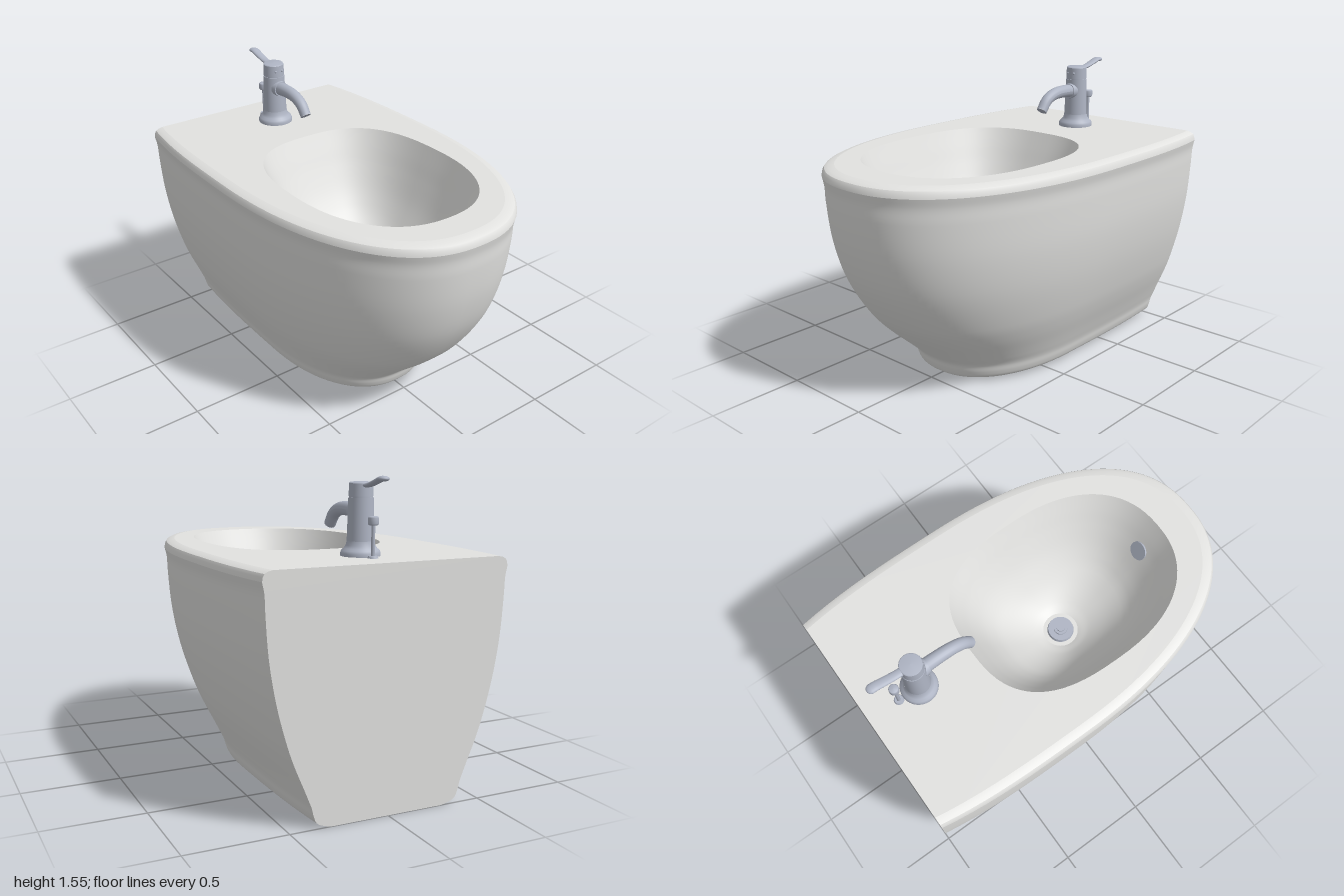
import * as THREE from 'three';

const BACK = -1, MID = -0.2, TOP = 1.178;
const V = (x, y, z) => new THREE.Vector3(x, y, z);
const signedPow = (v, e) => Math.sign(v) * Math.abs(v) ** e;

// U-shaped outline at height y: full rounded front, nearly straight sides, open at the back
function outline(w, y, front) {
  const side = [], steps = 10, arc = 64;
  for (let i = 0; i < steps; i++) {
    const t = 1 - i / steps;
    side.push(V(w * (1 - 0.07 * t ** 3), y, MID + (BACK - MID) * t));
  }
  const pts = side.slice();
  for (let i = 0; i <= arc; i++) {
    const a = (Math.PI * i) / arc;
    pts.push(V(w * signedPow(Math.cos(a), 0.87), y, MID + (front - MID) * Math.abs(Math.sin(a)) ** 0.87));
  }
  side.reverse().forEach(p => pts.push(V(-p.x, y, p.z)));
  return pts;
}

// Bowl ring: squarer at the rear, rounding off to a circle at the drain
function bowlRing(t, depth) {
  const pts = [], n = 80, k = Math.min(1, Math.max(0, (0.6 - t) / 0.4));
  for (let i = 0; i < n; i++) {
    const a = (2 * Math.PI * i) / n, c = Math.cos(a), s = Math.sin(a);
    const e = s < 0 ? 0.74 : 0.87, r = 0.48 * t;
    const x = 0.458 * t * signedPow(c, e);
    const z = (s < 0 ? 0.57 : 0.61) * t * signedPow(s, e);
    pts.push(V(x + (r * c - x) * k, TOP - depth, 0.17 + z + (r * s - z) * k));
  }
  return pts;
}

// Smooth skin through rings with equal point counts
function loft(rings, closed = false) {
  const n = rings[0].length, idx = [];
  for (let i = 0; i < rings.length - 1; i++)
    for (let j = 0; j < (closed ? n : n - 1); j++) {
      const a = i * n + j, b = i * n + ((j + 1) % n);
      idx.push(a, a + n, b, b, a + n, b + n);
    }
  const g = new THREE.BufferGeometry().setFromPoints(rings.flat());
  g.setIndex(idx);
  g.computeVertexNormals();
  return g;
}

// Tapered, optionally flattened tube along a curve in the x = 0 plane
function taperedTube(points, r0, r1, flat = 1) {
  const curve = new THREE.CatmullRomCurve3(points), n = 28, m = 20;
  const g = new THREE.TubeGeometry(curve, n, 1, m);
  const p = g.attributes.position, v = V(0, 0, 0);
  for (let i = 0; i <= n; i++) {
    const c = curve.getPointAt(i / n), r = r0 + (r1 - r0) * (i / n);
    for (let j = 0; j <= m; j++) {
      const k = i * (m + 1) + j;
      v.fromBufferAttribute(p, k).sub(c);
      p.setXYZ(k, c.x + v.x * r, c.y + v.y * r * flat, c.z + v.z * r * flat);
    }
  }
  g.computeVertexNormals();
  return g;
}

// Turned part from [radius, height] pairs
function turned(profile) {
  return new THREE.LatheGeometry(profile.map(([r, y]) => new THREE.Vector2(r, y)), 40);
}

export function createModel() {
  const model = new THREE.Group();
  model.name = 'bidet';
  const ceramic = new THREE.MeshStandardMaterial({ color: 0xe2e2e0 });
  ceramic.name = 'ceramic';
  const metal = new THREE.MeshStandardMaterial({ color: 0xafb5c4 });
  metal.name = 'metal';
  const add = (name, geo, mat, parent = model) => {
    const mesh = new THREE.Mesh(geo, mat);
    mesh.name = name;
    parent.add(mesh);
    return mesh;
  };

  // Outer shell: half width, height and front reach
  const profile = new THREE.CatmullRomCurve3([
    [0.31, 0, 0.38], [0.355, 0.009, 0.42], [0.395, 0.028, 0.447], [0.411, 0.06, 0.461],
    [0.422, 0.1, 0.474], [0.443, 0.15, 0.525], [0.465, 0.2, 0.58], [0.51, 0.3, 0.69],
    [0.548, 0.4, 0.78], [0.605, 0.6, 0.9], [0.641, 0.8, 0.962], [0.657, 1, 0.988],
    [0.661, 1.08, 0.991], [0.672, 1.13, 1],
  ].map(p => V(...p))).getPoints(65);
  const shell = profile.map(p => outline(p.x, Math.max(0, p.y), p.z));
  add('shell', loft(shell), ceramic);

  // Rim band and its rounded top edge
  const band = [[0.672, 1.13, 1], [0.668, 1.15, 0.996], [0.66, 1.164, 0.986]].map(p => outline(...p));
  const edge = [[0.66, 1.164, 0.986], [0.642, 1.173, 0.968], [0.618, TOP, 0.935]].map(p => outline(...p));
  add('rimBand', loft(band), ceramic);
  add('rimEdge', loft(edge), ceramic);

  // Flat deck around the bowl opening
  const deck = new THREE.Shape(edge[2].map(p => new THREE.Vector2(p.x, -p.z)));
  deck.holes.push(new THREE.Path(bowlRing(1, 0).map(p => new THREE.Vector2(p.x, -p.z))));
  add('deck', new THREE.ShapeGeometry(deck).rotateX(-Math.PI / 2).translate(0, TOP, 0), ceramic);

  // Flat underside and back wall
  const foot = new THREE.Shape(shell[0].map(p => new THREE.Vector2(p.x, p.z)));
  add('underside', new THREE.ShapeGeometry(foot).rotateX(Math.PI / 2), ceramic);
  const sideLine = [...shell, ...band.slice(1), ...edge.slice(1)].map(r => new THREE.Vector2(r[0].x, r[0].y));
  const mirrored = sideLine.map(p => new THREE.Vector2(-p.x, p.y)).reverse();
  add('backWall', new THREE.ShapeGeometry(new THREE.Shape([...sideLine, ...mirrored]))
    .rotateY(Math.PI).translate(0, 0, BACK), ceramic);

  // Bowl: ring scale and depth
  const bowlCurve = new THREE.CatmullRomCurve3([
    [1, 0], [0.975, 0.03], [0.92, 0.095], [0.84, 0.19], [0.7, 0.335], [0.5, 0.48], [0.32, 0.565], [0.2, 0.6],
  ].map(([t, d]) => V(t, d, 0)));
  add('bowl', loft(bowlCurve.getPoints(36).map(p => bowlRing(p.x, p.y)), true), ceramic);

  // Drain with stepped rings
  const floorY = TOP - 0.6;
  add('drainSeat', new THREE.CylinderGeometry(0.098, 0.098, 0.01, 40), ceramic).position.set(0, floorY - 0.004, 0.17);
  const drain = new THREE.Group();
  drain.name = 'drain';
  drain.position.set(0, floorY, 0.17);
  model.add(drain);
  [[0.075, 0.02], [0.04, 0.03], [0.025, 0.04]].forEach(([r, h], i) =>
    add('drainRing' + (i + 1), new THREE.CylinderGeometry(r * 0.94, r, h, 32), metal, drain).position.y = h / 2);

  // Overflow cover on the front bowl wall
  const overflow = add('overflowCover', new THREE.CylinderGeometry(0.052, 0.052, 0.012, 32), metal);
  overflow.position.set(0, TOP - 0.188, 0.679);
  overflow.rotation.x = -1.1;

  // Tap
  const tap = new THREE.Group();
  tap.name = 'tap';
  tap.position.set(0, TOP, -0.706);
  model.add(tap);
  add('tapFoot', turned([[0.095, 0], [0.095, 0.014], [0.09, 0.026], [0.078, 0.036], [0.069, 0.05], [0.065, 0.07]]), metal, tap);
  add('tapColumn', new THREE.CylinderGeometry(0.059, 0.065, 0.21, 40), metal, tap).position.y = 0.165;
  add('tapNeck', new THREE.CylinderGeometry(0.055, 0.055, 0.012, 40), metal, tap).position.y = 0.273;
  add('tapHead', new THREE.CylinderGeometry(0.056, 0.058, 0.06, 40), metal, tap).position.y = 0.306;
  add('tapCap', turned([[0.056, 0.336], [0.051, 0.342], [0.0001, 0.344]]), metal, tap);
  for (const s of [-1, 1])
    add('headStud', new THREE.SphereGeometry(0.007, 10, 8), metal, tap).position.set(s * 0.02, 0.306, 0.053);

  // Spout with collar and outlet
  const spoutPath = [V(0, 0.205, 0.03), V(0, 0.211, 0.12), V(0, 0.205, 0.205), V(0, 0.178, 0.268), V(0, 0.124, 0.313)];
  add('spout', taperedTube(spoutPath, 0.037, 0.029), metal, tap);
  const collar = add('spoutCollar', new THREE.CylinderGeometry(0.041, 0.046, 0.03, 32), metal, tap);
  collar.position.set(0, 0.206, 0.056);
  collar.rotation.x = Math.PI / 2;
  const outlet = add('spoutOutlet', new THREE.CircleGeometry(0.029, 24), metal, tap);
  outlet.position.copy(spoutPath[4]);
  outlet.rotation.x = 0.92;

  // Lever handle rising backwards from the head
  const lever = [V(0, 0.325, -0.03), V(0, 0.333, -0.09), V(0, 0.35, -0.15), V(0, 0.362, -0.19), V(0, 0.362, -0.206)];
  add('lever', taperedTube(lever, 0.021, 0.025, 0.5), metal, tap);
  const tip = add('leverTip', new THREE.SphereGeometry(0.025, 20, 12), metal, tap);
  tip.scale.y = 0.5;
  tip.position.copy(lever[4]);

  // Pop-up rod behind the tap
  const rod = new THREE.Group();
  rod.name = 'popUpRod';
  rod.position.set(0, TOP, -0.824);
  model.add(rod);
  add('rodFoot', new THREE.CylinderGeometry(0.022, 0.026, 0.01, 24), metal, rod).position.y = 0.005;
  add('rodShaft', new THREE.CylinderGeometry(0.009, 0.009, 0.17, 16), metal, rod).position.y = 0.085;
  add('rodKnob', turned([[0.0001, 0.15], [0.021, 0.151], [0.025, 0.157], [0.025, 0.184], [0.021, 0.19], [0.0001, 0.192]]), metal, rod);

  return model;
}
